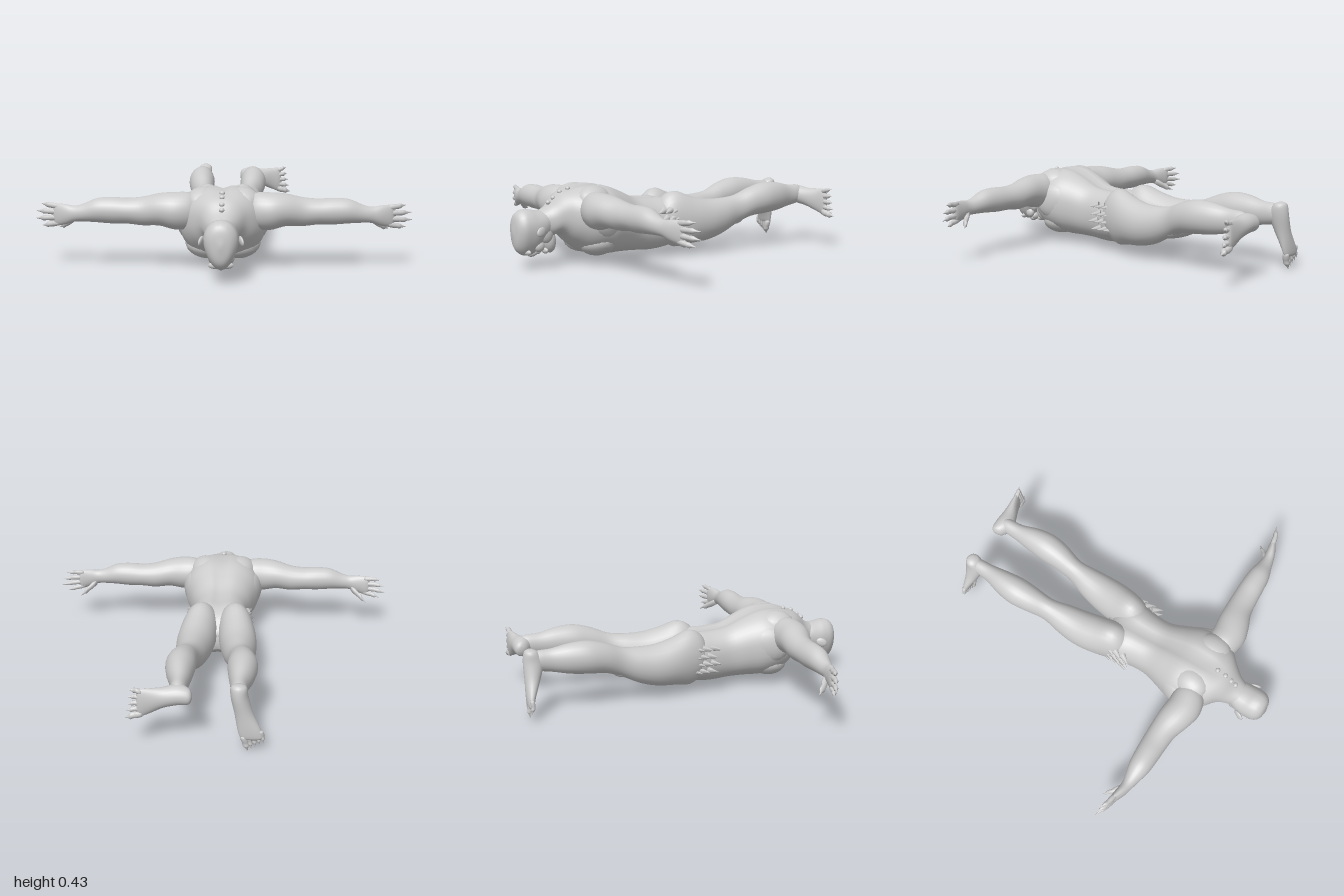
import * as THREE from 'three';

const material = new THREE.MeshStandardMaterial({ color: 0xcccccc });
const X = new THREE.Vector3(1, 0, 0), Y = new THREE.Vector3(0, 1, 0), Z = new THREE.Vector3(0, 0, 1);

function add(parent, name, geometry) {
  const mesh = new THREE.Mesh(geometry, material);
  mesh.name = name;
  parent.add(mesh);
  return mesh;
}

// Skin through sections [x, y, z, a, b]: ellipses with half-width a along U and b along V.
function loft(parent, name, secs, U, V, { s = 1, sides = 24, steps = 4, pow = 1, mod } = {}) {
  const path = new THREE.CatmullRomCurve3(secs.map(c => new THREE.Vector3(c[0], c[1], c[2])), false, 'catmullrom');
  const size = new THREE.CatmullRomCurve3(secs.map(c => new THREE.Vector3(c[3], c[4], 0)), false, 'catmullrom');
  const n = (secs.length - 1) * steps, pos = [], idx = [];
  const put = p => { if (mod) mod(p); pos.push(p.x * s, p.y, p.z); };
  const bend = v => Math.sign(v) * Math.abs(v) ** pow;
  for (let i = 0; i <= n; i++) {
    const c = path.getPoint(i / n), r = size.getPoint(i / n);
    for (let j = 0; j < sides; j++) {
      const t = j / sides * Math.PI * 2;
      put(c.clone().addScaledVector(U, bend(Math.cos(t)) * r.x).addScaledVector(V, bend(Math.sin(t)) * r.y));
    }
  }
  put(path.getPoint(0));
  put(path.getPoint(1));
  const dir = path.getPoint(1).sub(path.getPoint(0));
  const flip = U.clone().cross(V).dot(dir) * s < 0;
  const tri = (a, b, c) => flip ? idx.push(a, c, b) : idx.push(a, b, c);
  const first = (n + 1) * sides;
  for (let j = 0; j < sides; j++) {
    const k = (j + 1) % sides;
    for (let i = 0; i < n; i++) {
      const a = i * sides + j, b = i * sides + k;
      tri(a, b, b + sides);
      tri(a, b + sides, a + sides);
    }
    tri(first, k, j);
    tri(first + 1, n * sides + j, n * sides + k);
  }
  const g = new THREE.BufferGeometry();
  g.setAttribute('position', new THREE.Float32BufferAttribute(pos, 3));
  g.setIndex(idx);
  g.computeVertexNormals();
  return add(parent, name, g);
}

function blob(parent, name, [x, y, z], [rx, ry, rz], turn = [0, 0, 0]) {
  const mesh = add(parent, name, new THREE.SphereGeometry(1, 18, 12).scale(rx, ry, rz));
  mesh.position.set(x, y, z);
  mesh.rotation.set(...turn);
  return mesh;
}

// Finger or toe tapering from a to a pointed claw at b
function digit(parent, name, a, b, r, U, V, s = 1) {
  const at = (t, k, lift = 0) => [0, 1, 2].map(i => a[i] + (b[i] - a[i]) * t + (i === 2 ? lift : 0)).concat(r * k, r * k);
  loft(parent, name, [at(0, 0.9), at(0.3, 1, 0.004), at(0.5, 0.85, 0.006), at(0.68, 0.9, 0.005), at(0.78, 0.5, 0.003), at(1, 0.08)],
    U, V, { s, sides: 8, steps: 2 });
}

function makeHead() {
  const head = new THREE.Group();
  head.name = 'head';
  loft(head, 'skull', [
    [0, 0.2, 0.962, 0.01, 0.015], [0, 0.2, 0.95, 0.055, 0.085], [0, 0.197, 0.92, 0.083, 0.117],
    [0, 0.195, 0.88, 0.09, 0.124], [0, 0.198, 0.84, 0.09, 0.113], [0, 0.225, 0.79, 0.08, 0.08], [0, 0.24, 0.74, 0.06, 0.06],
  ], X, Y, { pow: 0.9, mod: p => { p.x *= 1 - Math.max(0, 0.22 - p.y) * 2.2; } });
  blob(head, 'jaw', [0, 0.145, 0.752], [0.052, 0.072, 0.037], [0.12, 0, 0]);
  blob(head, 'lowerLip', [0, 0.088, 0.773], [0.03, 0.018, 0.014]);
  blob(head, 'upperLip', [0, 0.095, 0.818], [0.034, 0.022, 0.014]);
  blob(head, 'nose', [0, 0.079, 0.848], [0.018, 0.018, 0.03], [0.2, 0, 0]);
  for (const s of [1, -1]) {
    blob(head, 'brow', [s * 0.032, 0.093, 0.895], [0.032, 0.016, 0.013], [0, s * 0.2, 0]);
    blob(head, 'cheek', [s * 0.045, 0.12, 0.83], [0.022, 0.03, 0.03]);
    blob(head, 'jawHinge', [s * 0.05, 0.185, 0.79], [0.022, 0.05, 0.04]);
    blob(head, 'ear', [s * 0.1, 0.205, 0.843], [0.01, 0.024, 0.033], [0.4, s * 0.35, 0]);
  }
  return head;
}

function makeTorso() {
  const torso = new THREE.Group();
  torso.name = 'torso';
  // Neck to pelvis, with a spine groove on the back
  loft(torso, 'trunk', [
    [0, 0.23, 0.84, 0.055, 0.06], [0, 0.245, 0.76, 0.08, 0.083], [0, 0.28, 0.7, 0.118, 0.105],
    [0, 0.268, 0.64, 0.18, 0.145], [0, 0.25, 0.56, 0.222, 0.185], [0, 0.238, 0.45, 0.225, 0.195],
    [0, 0.22, 0.35, 0.19, 0.178], [0, 0.197, 0.25, 0.16, 0.158], [0, 0.188, 0.15, 0.163, 0.155],
    [0, 0.19, 0.05, 0.178, 0.148], [0, 0.18, -0.03, 0.15, 0.115], [0, 0.16, -0.08, 0.07, 0.05],
  ], X, Y, {
    sides: 40, pow: 0.88,
    mod: p => {
      const body = Math.min(1, Math.max(0, (0.68 - p.z) * 8));
      if (p.y > 0.25) p.y -= body * 0.022 * Math.exp(-((p.x / 0.035) ** 2));
      else if (p.y < 0.12) p.y += body * 0.01 * Math.exp(-((p.x / 0.025) ** 2));
    },
  });
  for (const s of [1, -1]) {
    blob(torso, 'shoulderBlade', [s * 0.11, 0.355, 0.53], [0.09, 0.075, 0.11], [0, s * 0.3, -s * 0.3]);
    blob(torso, 'chestMuscle', [s * 0.095, 0.115, 0.5], [0.105, 0.068, 0.1], [0, 0, s * 0.2]);
    blob(torso, 'sideMuscle', [s * 0.17, 0.25, 0.46], [0.06, 0.11, 0.13], [0, s * 0.35, 0]);
  }
  // Knobs down the nape
  [0.75, 0.72, 0.68, 0.63].forEach((z, i) =>
    blob(torso, 'spineKnob', [0, [0.345, 0.368, 0.398, 0.413][i], z], [0.014, 0.012, 0.013]));
  return torso;
}

function makeArm(s) {
  const arm = new THREE.Group();
  arm.name = s > 0 ? 'leftArm' : 'rightArm';
  loft(arm, 'armAndPalm', [
    [0.12, 0.31, 0.56, 0.05, 0.06], [0.17, 0.31, 0.563, 0.085, 0.095], [0.25, 0.31, 0.57, 0.095, 0.098],
    [0.33, 0.315, 0.558, 0.09, 0.085], [0.42, 0.303, 0.54, 0.075, 0.076], [0.5, 0.303, 0.536, 0.07, 0.068],
    [0.58, 0.305, 0.535, 0.067, 0.07], [0.66, 0.305, 0.535, 0.06, 0.064], [0.73, 0.292, 0.533, 0.043, 0.048],
    [0.78, 0.285, 0.53, 0.032, 0.043], [0.83, 0.28, 0.52, 0.028, 0.054], [0.88, 0.276, 0.505, 0.019, 0.058],
    [0.9, 0.276, 0.5, 0.008, 0.04],
  ], Z, Y, { s });
  const tips = [[0.965, 0.33, 0.476], [0.995, 0.29, 0.468], [1, 0.25, 0.468], [0.965, 0.213, 0.474]];
  tips.forEach((tip, i) => digit(arm, 'finger', [0.865, 0.319 - i * 0.029, 0.507], tip, 0.0155, Z, Y, s));
  digit(arm, 'thumb', [0.79, 0.255, 0.515], [0.88, 0.195, 0.435], 0.021, Z, Y, s);
  return arm;
}

function makeLeg(s) {
  const leg = new THREE.Group();
  leg.name = s > 0 ? 'leftLeg' : 'rightLeg';
  loft(leg, 'thighAndCalf', [
    [0.085, 0.21, 0.12, 0.04, 0.05], [0.092, 0.213, 0.07, 0.083, 0.125], [0.1, 0.208, 0, 0.1, 0.16],
    [0.115, 0.198, -0.1, 0.106, 0.137], [0.126, 0.192, -0.2, 0.1, 0.12], [0.133, 0.205, -0.3, 0.084, 0.105],
    [0.143, 0.235, -0.4, 0.062, 0.086], [0.156, 0.275, -0.5, 0.072, 0.085], [0.162, 0.293, -0.6, 0.08, 0.092],
    [0.16, 0.296, -0.7, 0.068, 0.085], [0.152, 0.295, -0.8, 0.046, 0.065], [0.152, 0.3, -0.88, 0.04, 0.055],
    [0.152, 0.3, -0.92, 0.025, 0.035],
  ], X, Y, { s });
  blob(leg, 'kneecap', [s * 0.145, 0.18, -0.42], [0.036, 0.026, 0.05], [0.35, 0, 0]);
  // Overlapping pointed tufts on the hip, swept towards the chest
  for (let row = 0; row < 4; row++) for (let col = 0; col < 3; col++) {
    const y = 0.135 + row * 0.043, z = 0.025 + col * 0.048 + (row % 2) * 0.02;
    const tuft = add(leg, 'hipTuft', new THREE.ConeGeometry(0.021, 0.065, 7));
    tuft.position.set(s * (0.186 - Math.abs(y - 0.2) * 0.12), y, z);
    tuft.quaternion.setFromUnitVectors(Y, new THREE.Vector3(s * 0.5, -0.15, 0.85).normalize());
  }
  return leg;
}

// Left foot turned out to the side
function makeLeftFoot() {
  const foot = new THREE.Group();
  foot.name = 'leftFoot';
  loft(foot, 'heelAndInstep', [
    [0.078, 0.295, -0.918, 0.015, 0.015], [0.095, 0.293, -0.913, 0.042, 0.038], [0.15, 0.295, -0.9, 0.053, 0.056],
    [0.22, 0.283, -0.912, 0.055, 0.043], [0.29, 0.27, -0.93, 0.07, 0.027], [0.335, 0.262, -0.939, 0.077, 0.018],
    [0.35, 0.262, -0.942, 0.06, 0.008],
  ], Y, Z);
  for (let i = 0; i < 5; i++)
    digit(foot, 'toe', [0.325, 0.203 + i * 0.03, -0.938], [0.41 - i * 0.007, 0.182 + i * 0.04, -0.95], i ? 0.015 : 0.021, Y, Z);
  return foot;
}

// Right foot pointing straight down
function makeRightFoot() {
  const foot = new THREE.Group();
  foot.name = 'rightFoot';
  loft(foot, 'heelAndInstep', [
    [-0.152, 0.367, -0.916, 0.015, 0.015], [-0.153, 0.35, -0.91, 0.04, 0.038], [-0.157, 0.295, -0.9, 0.045, 0.056],
    [-0.178, 0.21, -0.912, 0.047, 0.043], [-0.205, 0.13, -0.93, 0.058, 0.027], [-0.218, 0.085, -0.937, 0.058, 0.018],
    [-0.222, 0.07, -0.94, 0.045, 0.008],
  ], X, Z);
  for (let i = 0; i < 5; i++)
    digit(foot, 'toe', [-0.178 - i * 0.022, 0.087 + i * 0.008, -0.936], [-0.2 - i * 0.02, 0.001 + i * 0.012, -0.94], i ? 0.013 : 0.019, X, Z);
  return foot;
}

export function createModel() {
  const model = new THREE.Group();
  model.name = 'proneFigure';
  model.add(makeHead(), makeTorso(), makeLeftFoot(), makeRightFoot());
  for (const s of [1, -1]) model.add(makeArm(s), makeLeg(s));
  return model;
}
